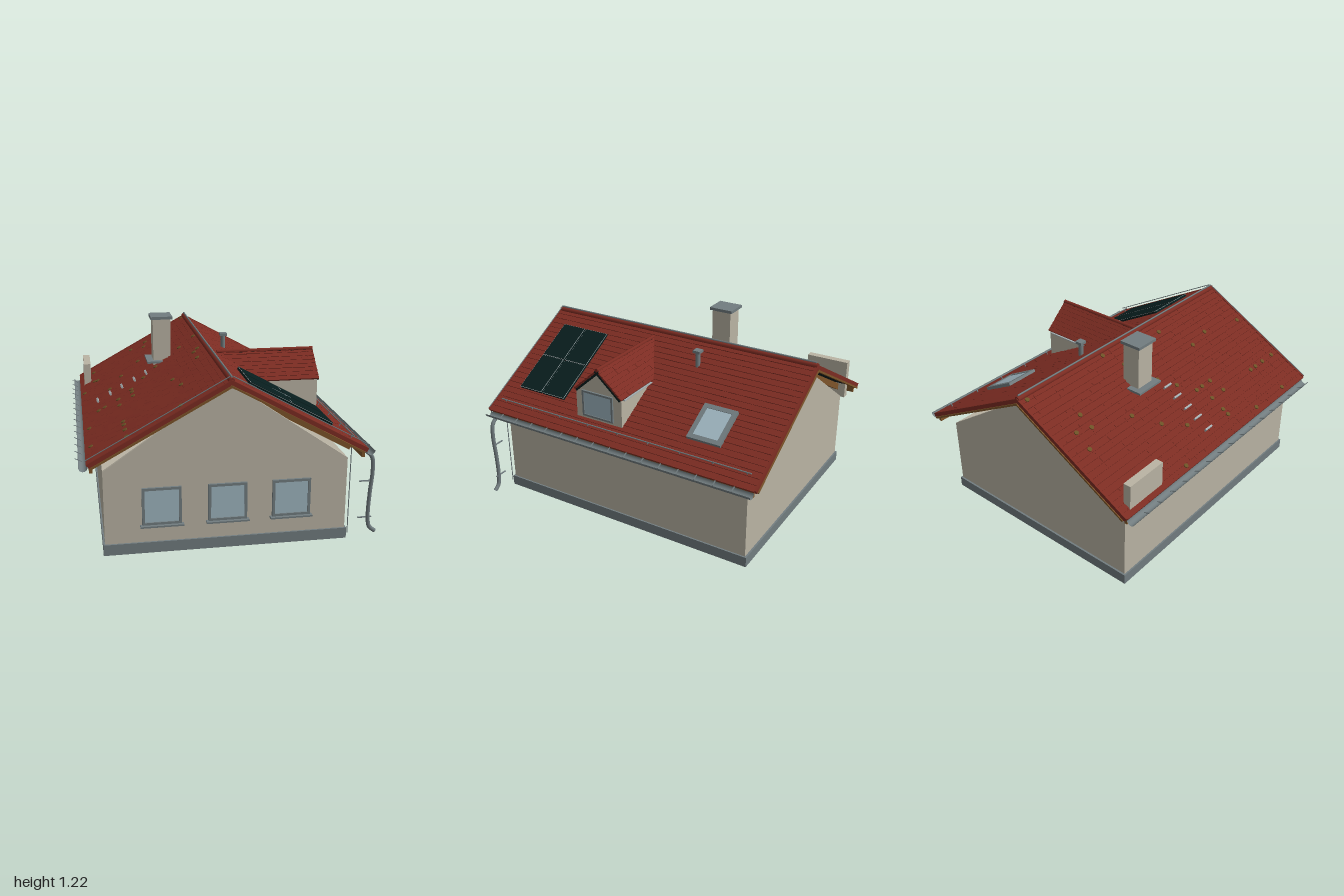
import * as THREE from 'three';
import { mergeGeometries } from 'three/addons/utils/BufferGeometryUtils.js';

const paint = (name, color, side = THREE.FrontSide) => {
  const m = new THREE.MeshStandardMaterial({ color, side });
  m.name = name;
  return m;
};

export function createModel() {
  const house = new THREE.Group();
  house.name = 'house';
  const plaster = paint('plaster', 0xbab4a4);
  const clay = paint('clay red', 0x7c2c22);
  const metal = paint('grey metal', 0x727d80, THREE.DoubleSide);
  const glass = paint('window glass', 0x9fb6c0);
  const dark = paint('dark sheet', 0x081d1d, THREE.DoubleSide);
  const wood = paint('timber', 0x7d5429);
  const moss = paint('moss', 0x6b5226);
  const silver = paint('silver frame', 0xa3adb0);

  const add = (parent, name, geo, mat, x = 0, y = 0, z = 0) => {
    const m = new THREE.Mesh(geo, mat);
    m.name = name;
    m.position.set(x, y, z);
    parent.add(m);
    return m;
  };
  // box given by its lower and upper corner
  const box = (parent, name, mat, x0, x1, y0, y1, z0, z1) =>
    add(parent, name, new THREE.BoxGeometry(x1 - x0, y1 - y0, z1 - z0), mat, (x0 + x1) / 2, (y0 + y1) / 2, (z0 + z1) / 2);
  const prism = (pts, depth) => new THREE.ExtrudeGeometry(
    new THREE.Shape(pts.map(p => new THREE.Vector2(...p))), { depth, bevelEnabled: false });
  const tube = (parent, name, mat, pts, r, n) => add(parent, name, new THREE.TubeGeometry(
    new THREE.CatmullRomCurve3(pts.map(p => new THREE.Vector3(...p))), n, r, 8), mat);

  let seed = 7;
  const rnd = () => (seed = (seed * 16807) % 2147483647) / 2147483647;

  // sloped frame: local x runs down the slope, local y points out of it
  const slope = (name, x, y, z, yaw, pitch) => {
    const outer = new THREE.Group(), inner = new THREE.Group();
    outer.name = name;
    inner.name = name + 'Surface';
    outer.position.set(x, y, z);
    outer.rotation.y = yaw;
    inner.rotation.z = -pitch;
    outer.add(inner);
    house.add(outer);
    return inner;
  };
  // overlapping courses of slightly uneven tiles; range(s) gives the z extent of a course
  const tiles = (parent, name, length, rows, width, range) => {
    const list = [], step = length / rows;
    for (let i = 0; i < rows; i++) {
      const [z0, z1] = range((i + 0.5) * step);
      const count = Math.max(1, Math.round((z1 - z0) / width)), w = (z1 - z0) / count;
      for (let j = 0; j < count; j++) {
        const g = new THREE.BoxGeometry(step * 1.25, 0.011, w);
        g.rotateZ(0.11 + (rnd() - 0.5) * 0.03);
        g.translate((i + 0.5) * step, -0.009 + (rnd() - 0.5) * 0.002, z0 + (j + 0.5) * w);
        list.push(g);
      }
    }
    add(parent, name, mergeGeometries(list), clay);
  };

  // walls, plinth and gables
  const CX = -0.02;
  box(house, 'plinth', metal, -0.765, 0.725, 0.004, 0.072, -0.912, 0.912);
  box(house, 'walls', plaster, -0.755, 0.715, 0, 0.53, -0.9, 0.9);
  for (const z of [-0.9, 0.88])
    add(house, 'gable', prism([[-0.755, 0.53], [0.715, 0.53], [CX, 1.034]], 0.02), plaster, 0, 0, z);

  // front windows
  const frame = (w, h, t, d) => {
    const s = new THREE.Shape([[-w, -h], [w, -h], [w, h], [-w, h]].map(p => new THREE.Vector2(p[0] / 2, p[1] / 2)));
    const a = w / 2 - t, b = h / 2 - t;
    s.holes.push(new THREE.Path([[-a, -b], [-a, b], [a, b], [a, -b]].map(p => new THREE.Vector2(...p))));
    return new THREE.ExtrudeGeometry(s, { depth: d, bevelEnabled: false });
  };
  for (const x of [-0.415, CX, 0.37]) {
    add(house, 'windowFrame', frame(0.235, 0.235, 0.016, 0.015), metal, x, 0.3, 0.9);
    box(house, 'windowGlass', glass, x - 0.104, x + 0.104, 0.196, 0.404, 0.9, 0.907);
    box(house, 'windowSill', metal, x - 0.13, x + 0.13, 0.174, 0.184, 0.9, 0.935);
  }

  // main roof, both sides
  const RX = -0.017, RY = 1.07, T = 0.55, A = Math.atan(T), C = Math.cos(A), L = 0.826 / C;
  const down = x => Math.abs(x - RX) / C;
  const [east, west] = [1, -1].map(k => {
    const r = slope(k > 0 ? 'leftRoof' : 'rightRoof', RX, RY, 0, k > 0 ? 0 : Math.PI, A);
    tiles(r, 'roofTiles', L, 22, 0.049, () => [-0.985, 0.985]);
    box(r, 'underlay', dark, 0, L - 0.01, -0.03, -0.02, -0.975, 0.975);
    for (const e of [-1, 1]) {
      add(r, 'vergeTiles', new THREE.BoxGeometry(L, 0.026, 0.014), clay, L / 2, -0.012, e * 0.988);
      add(r, 'vergeBoard', new THREE.BoxGeometry(L - 0.02, 0.012, 0.028), wood, L / 2, -0.032, e * 0.986);
    }
    for (let i = 0; i < 16; i++)
      add(r, 'rafter', new THREE.BoxGeometry(0.84, 0.042, 0.03), wood, 0.475, -0.056, -0.86 + i * 1.72 / 15);
    add(r, 'roofConductor', new THREE.CylinderGeometry(0.003, 0.003, L, 6).rotateZ(Math.PI / 2), metal, L / 2, 0.02, k * 0.975);

    // eaves: fascia, open gutter and its brackets
    const fx = RX + k * 0.803, gx = RX + k * 0.846;
    box(house, 'fascia', wood, fx - 0.01, fx + 0.01, 0.555, 0.6, -0.97, 0.97);
    add(house, 'gutter', new THREE.CylinderGeometry(0.026, 0.026, 1.96, 12, 1, true, -Math.PI / 2, Math.PI)
      .rotateX(Math.PI / 2), metal, gx, 0.596, 0);
    for (let i = 0; i < 15; i++)
      add(house, 'gutterBracket', new THREE.BoxGeometry(0.045, 0.003, 0.007), metal,
        gx + (k > 0 ? -0.005 : -0.022), 0.6, -0.86 + i * 0.123).rotation.z = -0.45;
    return r;
  });

  // ridge
  add(house, 'ridgeCap', new THREE.CylinderGeometry(0.018, 0.018, 1.98, 10).rotateX(Math.PI / 2), clay, RX, 1.064, 0);
  add(house, 'ridgeConductor', new THREE.CylinderGeometry(0.006, 0.006, 1.96, 6).rotateX(Math.PI / 2), metal, RX, 1.087, 0);

  // solar panels with a thin bright rim
  for (const x of [0.11, 0.365])
    for (const [z0, z1] of [[0.495, 0.67], [0.683, 0.86]]) {
      const s0 = down(x), s1 = down(x + 0.252);
      box(east, 'solarBody', dark, s0, s1, 0.003, 0.017, z0, z1);
      box(east, 'solarRim', silver, s0, s1, 0.017, 0.019, z0, z1);
      box(east, 'solarPanel', dark, s0 + 0.0025, s1 - 0.0025, 0.018, 0.021, z0 + 0.0025, z1 - 0.0025);
    }

  // skylight
  const s0 = down(0.4), s1 = down(0.63);
  add(east, 'skylightFrame', frame(s1 - s0, 0.23, 0.03, 0.024).rotateX(-Math.PI / 2), metal, (s0 + s1) / 2, -0.006, -0.555);
  box(east, 'skylightGlass', glass, s0 + 0.028, s1 - 0.028, 0.006, 0.014, -0.643, -0.467);

  // snow guard
  add(east, 'snowGuard', new THREE.CylinderGeometry(0.004, 0.004, 1.86, 8).rotateX(Math.PI / 2), metal, down(0.73), 0.018, 0);
  for (let i = 0; i < 9; i++)
    add(east, 'snowGuardPost', new THREE.BoxGeometry(0.006, 0.026, 0.006), metal, down(0.73), 0.005, -0.9 + i * 0.225);

  // vent pipe
  add(house, 'ventPipe', new THREE.CylinderGeometry(0.016, 0.016, 0.14, 16), metal, 0.16, 0.995, -0.245);
  box(house, 'ventCap', metal, 0.135, 0.185, 1.056, 1.074, -0.27, -0.22);

  // chimney, end wall stub and roof steps
  box(house, 'chimney', plaster, -0.345, -0.225, 0.82, 1.21, -0.272, -0.138);
  box(house, 'chimneyCap', metal, -0.36, -0.212, 1.205, 1.224, -0.287, -0.122);
  box(house, 'chimneyFlashing', metal, -0.39, -0.19, 0.907, 0.921, -0.31, -0.1);
  box(house, 'endWallStub', plaster, -0.815, -0.765, 0.52, 0.788, -0.925, -0.63);
  for (const x of [-0.735, -0.65, -0.57, -0.485, -0.405])
    add(west, 'roofStep', new THREE.BoxGeometry(0.012, 0.018, 0.07), silver, down(x), 0.005, 0.05);

  // moss patches, as x and z pairs
  const patches = [-.05, -.94, -.45, -.85, -.34, -.84, -.74, -.81, -.36, -.73, -.27, -.73, -.74, -.56, -.72, -.54,
    -.43, -.44, -.82, -.4, -.56, -.31, -.05, -.27, -.16, -.19, -.65, -.16, -.34, -.07, -.43, .02, -.07, .06, -.1, .1,
    -.52, .12, -.74, .17, -.7, .17, -.61, .17, -.52, .18, -.1, .25, -.52, .27, -.61, .3, -.28, .4, -.81, .41,
    -.25, .58, -.61, .64, -.61, .7, -.81, .74, -.61, .79, -.61, .91, -.3, .92];
  for (let i = 0; i < patches.length; i += 2)
    add(west, 'mossPatch', new THREE.CylinderGeometry(0.015, 0.015, 0.006, 8), moss, down(patches[i]), 0.002, -patches[i + 1]);

  // dormer body, gable and window
  const DZ = 0.168, DY = 1.045, DP = 0.727, DL = 0.243;
  const meet = y => RX + (RY - y) / T;
  add(house, 'dormerCheeks', prism([[0.31, 0.872], [0.68, 0.682], [0.68, 0.876], [0.31, 0.876]], 0.345), plaster, 0, 0, DZ - 0.1725);
  add(house, 'dormerGable', prism([[-0.1725, 0.874], [0.1725, 0.874], [0, 1.026]], 0.02).rotateY(Math.PI / 2), plaster, 0.66, 0, DZ);
  add(house, 'dormerWindowFrame', frame(0.232, 0.178, 0.013, 0.012).rotateY(Math.PI / 2), metal, 0.68, 0.79, DZ + 0.005);
  box(house, 'dormerWindowGlass', glass, 0.68, 0.687, 0.712, 0.868, DZ - 0.1, DZ + 0.11);
  box(house, 'dormerFlashing', silver, 0.35, 0.66, 0.864, 0.87, DZ - 0.188, DZ - 0.172);

  // dormer roof
  for (const k of [1, -1]) {
    const r = slope('dormerRoof', 0, DY, DZ, -k * Math.PI / 2, DP);
    const start = s => Math.max(0.04, meet(DY - s * Math.sin(DP)) - 0.01);
    tiles(r, 'dormerTiles', DL, 8, 0.045, s => k > 0 ? [-0.69, -start(s)] : [start(s), 0.69]);
    const a = start(0), b = start(DL), g = new THREE.BufferGeometry();
    g.setAttribute('position', new THREE.Float32BufferAttribute(
      [0, -0.018, -k * a, 0, -0.018, -k * 0.688, DL, -0.018, -k * 0.688, DL, -0.018, -k * b], 3));
    g.setIndex([0, 1, 2, 0, 2, 3]);
    g.computeVertexNormals();
    add(r, 'dormerUnderlay', g, dark);
    add(r, 'dormerVerge', new THREE.BoxGeometry(DL, 0.014, 0.012), dark, DL / 2, -0.022, -k * 0.684);
    add(r, 'dormerEaves', new THREE.BoxGeometry(0.012, 0.012, 0.69 - b), dark, DL - 0.008, -0.02, -k * (b + 0.69) / 2);
  }
  add(house, 'dormerRidge', new THREE.CylinderGeometry(0.013, 0.013, 0.65, 8).rotateZ(Math.PI / 2), clay, 0.365, DY - 0.007, DZ);

  // downpipe with clamps, and the earth wire
  tube(house, 'downpipe', metal, [[0.825, 0.572, 0.92], [0.86, 0.535, 0.92], [0.87, 0.45, 0.92], [0.86, 0.3, 0.92],
    [0.856, 0.15, 0.92], [0.868, 0.075, 0.92], [0.905, 0.043, 0.92]], 0.013, 40);
  for (const y of [0.38, 0.14])
    box(house, 'pipeClamp', metal, 0.79, 0.878, y - 0.003, y + 0.003, 0.915, 0.925);
  tube(house, 'earthWire', metal, [[0.73, 0.61, 0.915], [0.73, 0.3, 0.915], [0.73, 0.04, 0.915]], 0.003, 4);

  return house;
}
